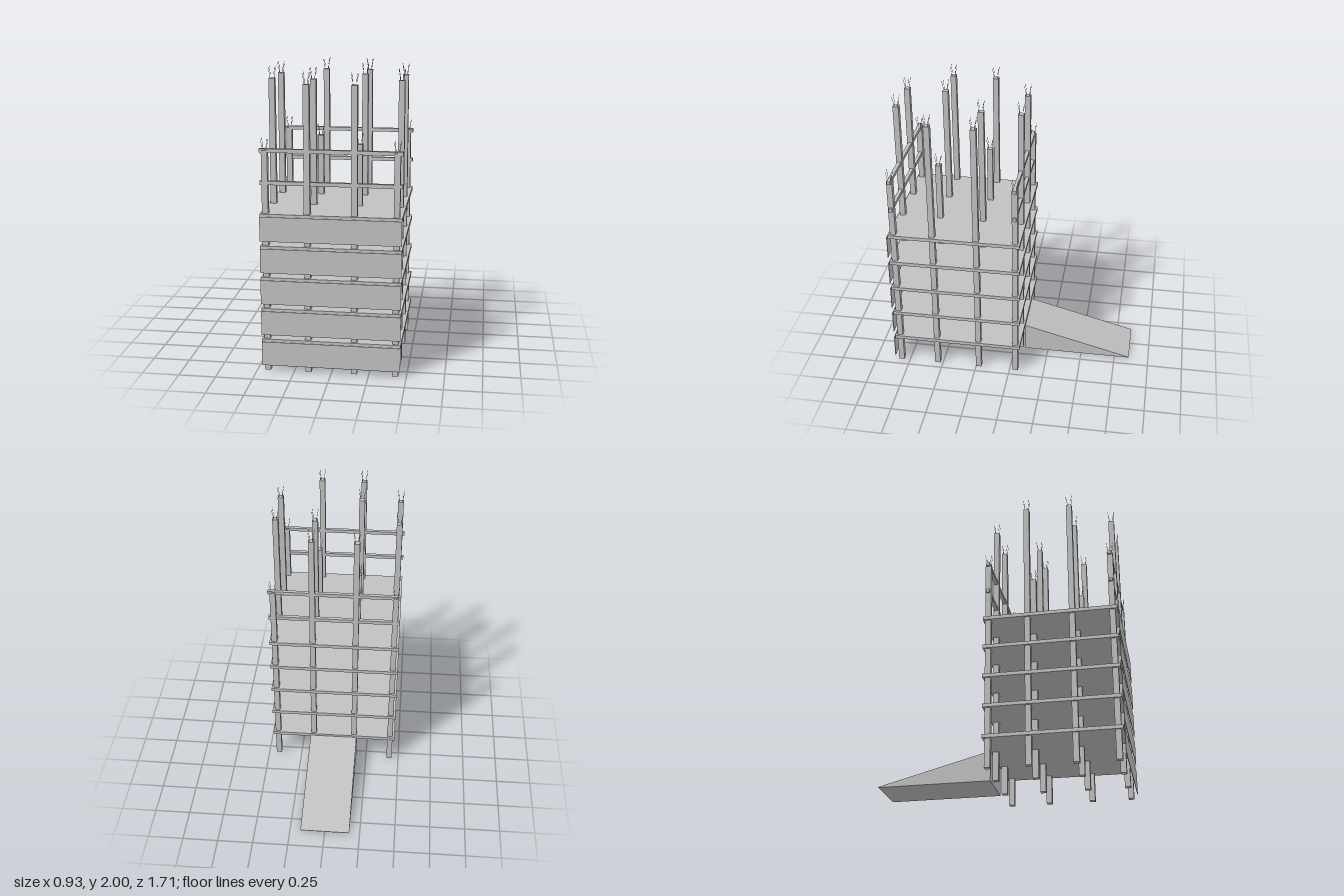
import * as THREE from 'three';

export function createModel() {
  const model = new THREE.Group();
  model.name = 'unfinishedBuilding';
  const concrete = new THREE.MeshStandardMaterial({ color: 0xc0c0c0 });
  concrete.name = 'concrete grey';

  const add = (geometry, name, x, y, z, parent = model) => {
    const mesh = new THREE.Mesh(geometry, concrete);
    mesh.name = name;
    mesh.position.set(x, y, z);
    parent.add(mesh);
    return mesh;
  };

  const columnX = [-0.43, -0.156, 0.151, 0.425];
  const columnZ = [0.813, 0.539, 0.231, -0.041];
  const width = 0.925, depth = 0.922, slabZ = 0.386, centreX = -0.002;
  const floors = 5, pitch = 0.215, firstTop = 0.224, thickness = 0.025;

  // Floor slabs, each with a thin parapet panel hanging from its front edge
  const slab = new THREE.BoxGeometry(width, thickness, depth);
  const panel = new THREE.BoxGeometry(width, 0.165, 0.004);
  for (let i = 0; i < floors; i++) {
    const top = firstTop + i * pitch;
    add(slab, 'floorSlab', centreX, top - thickness / 2, slabZ);
    add(panel, 'frontPanel', centreX, top - 0.1, 0.855);
  }

  // One bent reinforcing bar, leaning outwards along +x and +z
  const rod = new THREE.TubeGeometry(new THREE.CatmullRomCurve3([
    new THREE.Vector3(0.012, -0.01, 0.012),
    new THREE.Vector3(0.013, 0.025, 0.013),
    new THREE.Vector3(0.018, 0.05, 0.018),
    new THREE.Vector3(0.021, 0.075, 0.021),
  ]), 6, 0.0012, 4);

  // Column grid: the corners and two inner columns are shorter
  columnX.forEach((x, i) => columnZ.forEach((z, j) => {
    const corner = (i === 0 || i === 3) && (j === 0 || j === 3);
    const shortInner = (i === 2 && j === 1) || (i === 1 && j === 2);
    const height = corner || shortInner ? 1.5 : 1.925;
    const column = new THREE.Group();
    column.name = 'column';
    column.position.set(x, 0, z);
    model.add(column);
    add(new THREE.BoxGeometry(0.04, height, 0.04), 'columnShaft', 0, height / 2, 0, column);
    for (let k = 0; k < 4; k++) {
      add(rod, 'reinforcingBar', 0, height, 0, column).rotation.y = k * Math.PI / 2;
    }
  }));

  // Guard rails along the front and back of the top floor
  const rail = new THREE.BoxGeometry(width, 0.025, 0.025);
  for (const z of [columnZ[0], columnZ[3]]) {
    for (const y of [1.285, 1.497]) add(rail, 'guardRail', centreX, y, z);
  }

  // Solid wedge ramp up to the first floor at the back
  const profile = new THREE.Shape([
    new THREE.Vector2(0.077, 0),
    new THREE.Vector2(0.857, 0),
    new THREE.Vector2(0.857, 0.004),
    new THREE.Vector2(0.077, 0.21),
  ]);
  const ramp = new THREE.ExtrudeGeometry(profile, { depth: 0.35, bevelEnabled: false });
  ramp.translate(0, 0, -0.175).rotateY(Math.PI / 2);
  add(ramp, 'ramp', 0, 0, 0);

  return model;
}
